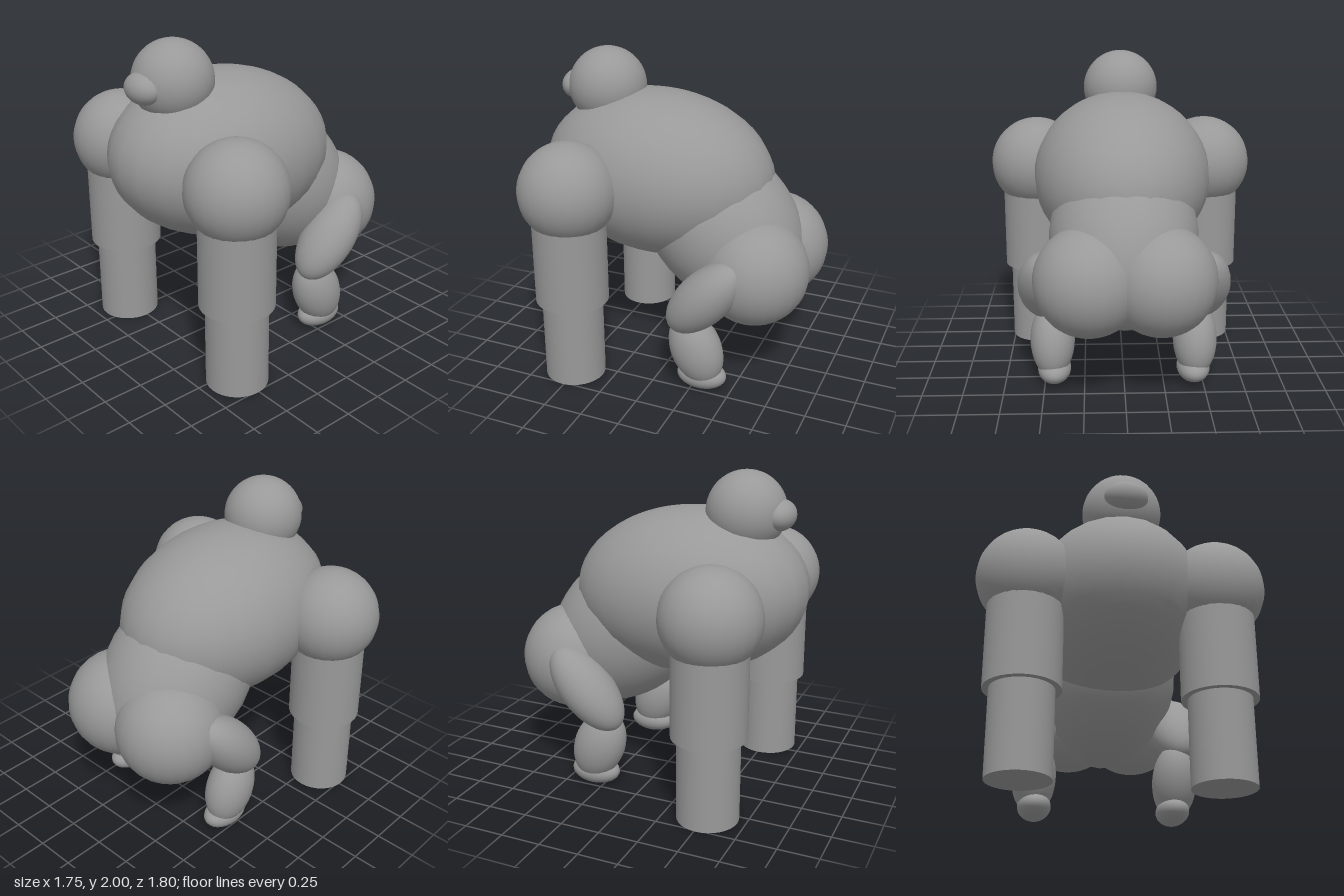
import * as THREE from 'three';

const grey = new THREE.MeshStandardMaterial({ color: 0x999999 });
grey.name = 'grey';

export function createModel() {
  const model = new THREE.Group();
  model.name = 'apeFigure';

  // Smooth ellipsoid: centre, three radii and a tilt about x
  function ellipsoid(name, centre, radii, tilt = 0, segments = 24) {
    const mesh = new THREE.Mesh(new THREE.SphereGeometry(1, segments, 24), grey);
    mesh.name = name;
    mesh.position.set(...centre);
    mesh.scale.set(...radii);
    mesh.rotation.x = tilt;
    model.add(mesh);
  }

  // Upright cylinder between two heights
  function post(name, x, z, radius, bottom, top) {
    const mesh = new THREE.Mesh(new THREE.CylinderGeometry(radius, radius, top - bottom, 32), grey);
    mesh.name = name;
    mesh.position.set(x, (bottom + top) / 2, z);
    model.add(mesh);
  }

  // Head and trunk
  ellipsoid('head', [0, 1.755, 0.51], [0.245, 0.245, 0.245], 0, 32);
  ellipsoid('muzzle', [0, 1.745, 0.715], [0.135, 0.095, 0.1]);
  ellipsoid('body', [0, 1.24, 0.158], [0.565, 0.518, 0.75], -0.08);
  ellipsoid('pelvis', [0, 0.95, -0.27], [0.46, 0.45, 0.6], -Math.PI / 4);

  // Limbs, mirrored left and right
  for (const [side, s] of [['left', 1], ['right', -1]]) {
    // Arm
    ellipsoid(side + 'Shoulder', [s * 0.57, 1.245, 0.51], [0.305, 0.305, 0.305]);
    post(side + 'UpperArm', s * 0.573, 0.512, 0.228, 0.53, 1.05);
    post(side + 'Forearm', s * 0.573, 0.512, 0.19, 0, 0.6);
    // Hind leg
    ellipsoid(side + 'Haunch', [s * 0.215, 0.76, -0.56], [0.335, 0.338, 0.338]);
    ellipsoid(side + 'Thigh', [s * 0.48, 0.655, -0.34], [0.175, 0.315, 0.16], -0.74);
    ellipsoid(side + 'Shin', [s * 0.45, 0.275, -0.275], [0.14, 0.24, 0.163], 0.38);
    ellipsoid(side + 'Foot', [s * 0.44, 0.09, -0.31], [0.105, 0.085, 0.16]);
  }
  return model;
}
